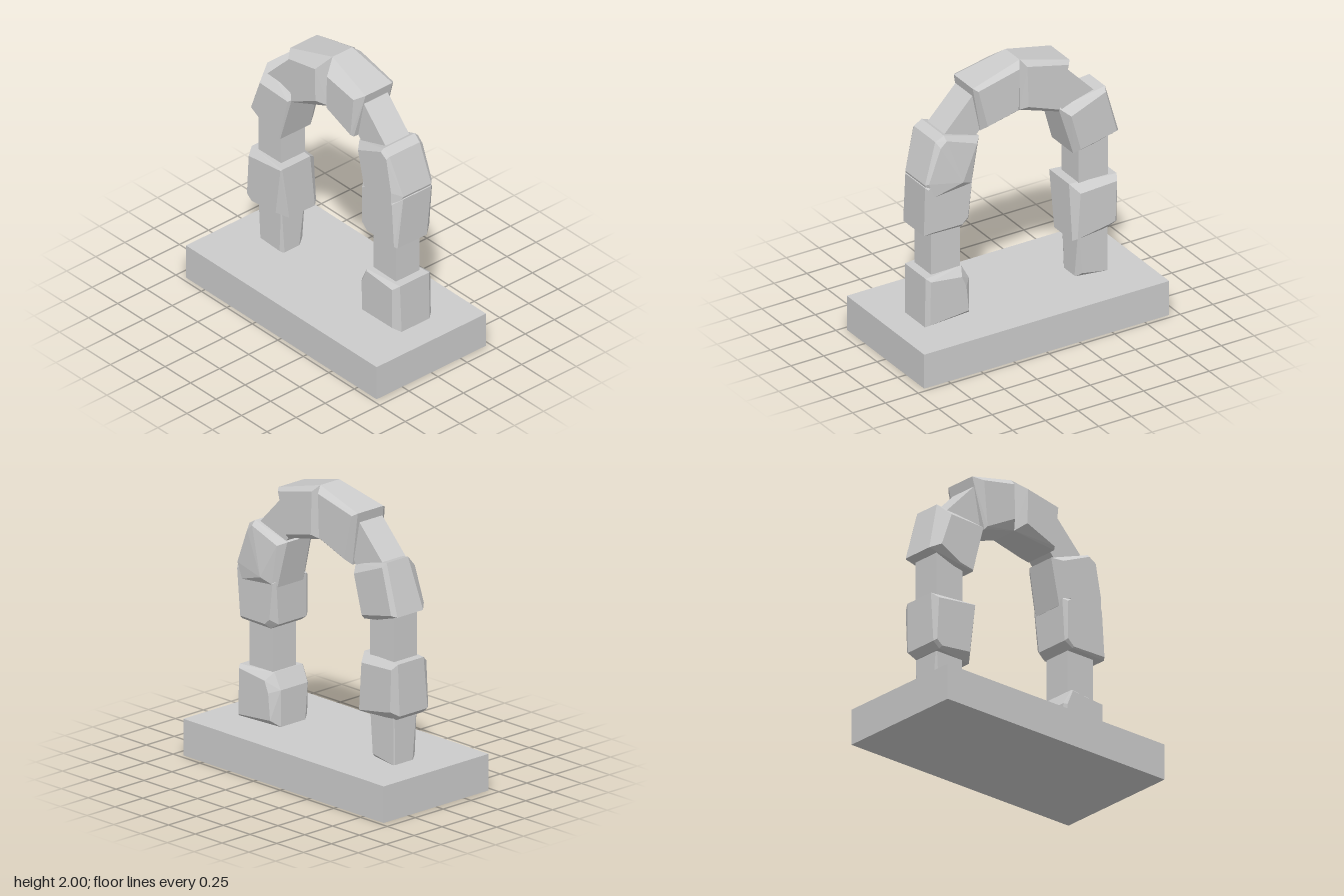
import * as THREE from 'three';
import { ConvexGeometry } from 'three/addons/geometries/ConvexGeometry.js';

const material = new THREE.MeshStandardMaterial({ color: 0xcccccc, flatShading: true });
const MID_Z = -0.03;

function addMesh(group, name, geometry) {
  const mesh = new THREE.Mesh(geometry, material);
  mesh.name = name;
  group.add(mesh);
  return mesh;
}

// Rough-hewn block: a front outline whose corners [x, y, frontCut, backCut] are chamfered towards each face
function stone(group, name, corners, depth = 0.32, extra = []) {
  const half = depth / 2;
  const cx = corners.reduce((s, c) => s + c[0], 0) / corners.length;
  const cy = corners.reduce((s, c) => s + c[1], 0) / corners.length;
  const points = extra.map((p) => new THREE.Vector3(...p));
  for (const [x, y, front = 0.02, back = 0.02] of corners) {
    const length = Math.hypot(x - cx, y - cy);
    for (const [side, cut] of [[1, front], [-1, back]]) {
      const k = 1 - cut / length;
      points.push(new THREE.Vector3(x, y, MID_Z + side * (half - cut)));
      points.push(new THREE.Vector3(cx + (x - cx) * k, cy + (y - cy) * k, MID_Z + side * half));
    }
  }
  return addMesh(group, name, new ConvexGeometry(points));
}

// Thin square core joining two blocks, between two points
function core(group, name, [x1, y1], [x2, y2], width = 0.225) {
  const length = Math.hypot(x2 - x1, y2 - y1);
  const mesh = addMesh(group, name, new THREE.BoxGeometry(width, length, 0.205));
  mesh.position.set((x1 + x2) / 2, (y1 + y2) / 2, MID_Z);
  mesh.rotation.z = Math.atan2(x1 - x2, y2 - y1);
}

export function createModel() {
  const group = new THREE.Group();
  group.name = 'stoneArch';

  // Plinth
  addMesh(group, 'base', new THREE.BoxGeometry(1.87, 0.25, 0.94)).position.y = 0.125;

  // Right-hand leg (-x)
  stone(group, 'rightFoot', [
    [-0.68, 0.24, 0.04, 0.01], [-0.455, 0.24, 0.03, 0.05],
    [-0.455, 0.6, 0.005, 0.005], [-0.68, 0.6, 0.005, 0.005],
  ], 0.205);
  stone(group, 'rightLowerBlock', [
    [-0.735, 0.955, 0.05, 0.04], [-0.39, 0.96, 0.01, 0.07], [-0.39, 0.56, 0.07, 0.03],
    [-0.69, 0.56, 0.02, 0.07], [-0.74, 0.6, 0.02, 0.05],
  ]);
  core(group, 'rightCore', [-0.567, 0.9], [-0.567, 1.3]);
  stone(group, 'rightUpperBlock', [
    [-0.64, 1.63, 0.1, 0.03], [-0.31, 1.54, 0.02, 0.07], [-0.41, 1.19, 0.01, 0.05],
    [-0.53, 1.21, 0.01, 0.05], [-0.74, 1.28, 0.06, 0.03],
  ]);

  // Left-hand leg (+x)
  stone(group, 'leftFootBlock', [
    [0.44, 0.61, 0.01, 0.06], [0.73, 0.605, 0.04, 0.03], [0.735, 0.25, 0.05, 0.03],
    [0.38, 0.25, 0.04, 0.06], [0.38, 0.5, 0.02, 0.06],
  ]);
  core(group, 'leftCore', [0.56, 0.55], [0.56, 0.97], 0.22);
  stone(group, 'leftLowerBlock', [
    [0.38, 1.25, 0.03, 0.02], [0.39, 0.95, 0.02, 0.05], [0.45, 0.91, 0.01, 0.04],
    [0.73, 0.91, 0.02, 0.05], [0.74, 1.28, 0.06, 0.02], [0.6, 1.38, 0.02, 0.02],
  ]);
  stone(group, 'leftUpperBlock', [
    [0.31, 1.53, 0.06, 0.05], [0.59, 1.62, 0.02, 0.03], [0.65, 1.585, 0.02, 0.04],
    [0.74, 1.3, 0.06, 0.02], [0.7, 1.17, 0.02, 0.04], [0.38, 1.21, 0.06, 0.03],
  ], 0.32, [[0.48, 1.27, -0.22]]);

  // Sloping cores and the two crown blocks
  for (const [side, name] of [[-1, 'right'], [1, 'left']]) {
    core(group, name + 'SlopingCore', [side * 0.53, 1.49], [side * 0.25, 1.78]);
    const inner = side < 0 ? 1.53 : 1.565;
    stone(group, name + 'CrownBlock', [
      [0, 2, 0.1, 0.05], [side * 0.37, 1.9, 0.06, 0.03],
      [side * 0.3, inner, 0.02, 0.05], [0, 1.63, 0.07, 0.05],
    ]);
  }
  return group;
}
